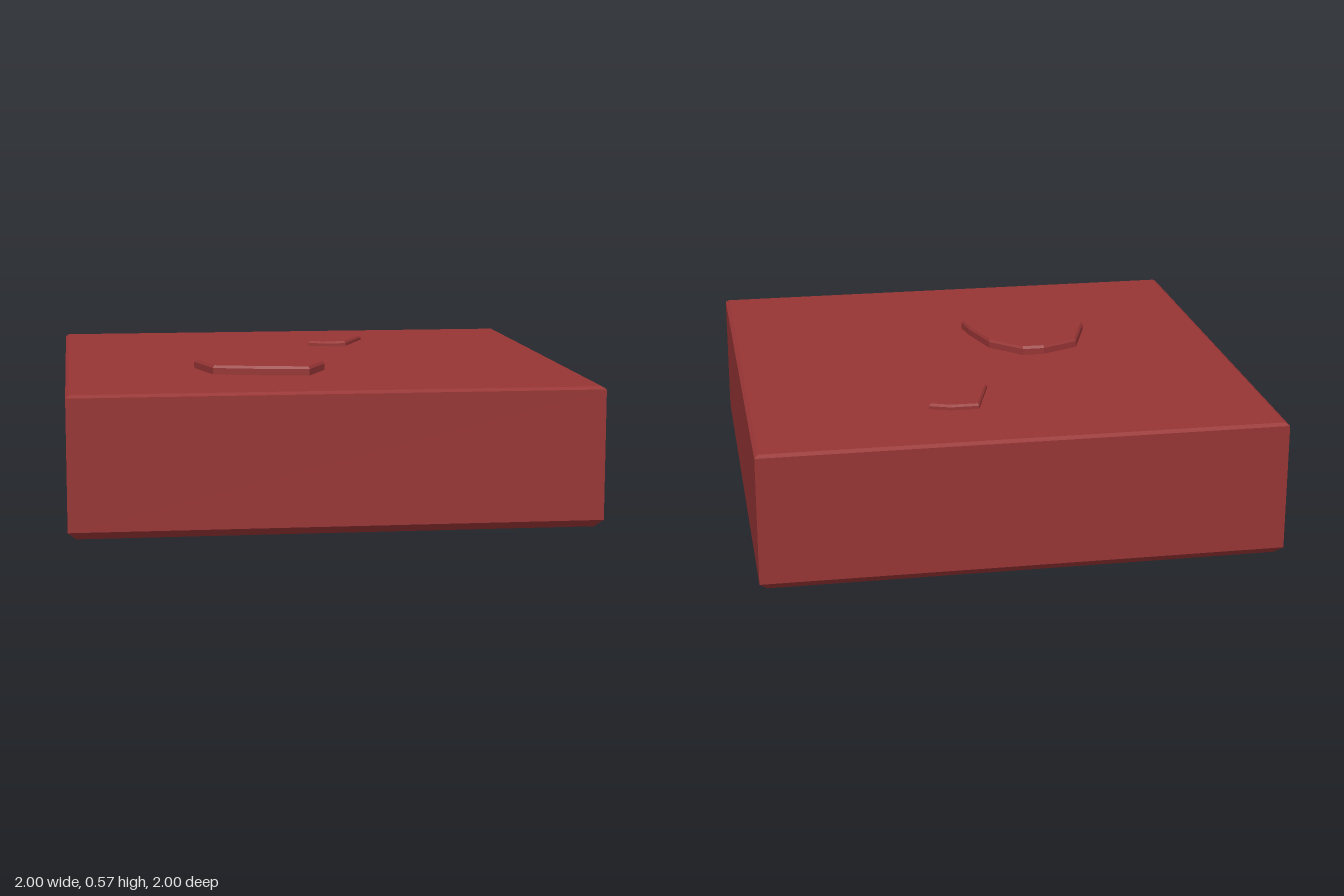
import * as THREE from 'three';

const material = new THREE.MeshStandardMaterial({ color: 0x963434, flatShading: true });

// Convex outline [x, z] (counterclockwise from above) lofted through rings [y, scale], capped at both ends
function loft(name, outline, rings) {
  const n = outline.length;
  const cx = outline.reduce((s, p) => s + p[0], 0) / n;
  const cz = outline.reduce((s, p) => s + p[1], 0) / n;
  const at = (ring, i) => {
    const [x, z] = outline[i % n];
    const [y, s] = ring;
    return [cx + (x - cx) * s, y, cz + (z - cz) * s];
  };
  const low = rings[0], high = rings[rings.length - 1];
  const pos = [];
  for (let i = 0; i < n; i++) {
    for (let r = 0; r < rings.length - 1; r++) {
      const a = at(rings[r], i), b = at(rings[r], i + 1);
      const c = at(rings[r + 1], i + 1), d = at(rings[r + 1], i);
      pos.push(...a, ...b, ...c, ...a, ...c, ...d);
    }
    pos.push(cx, high[0], cz, ...at(high, i), ...at(high, i + 1));
    pos.push(cx, low[0], cz, ...at(low, i + 1), ...at(low, i));
  }
  const geometry = new THREE.BufferGeometry();
  geometry.setAttribute('position', new THREE.Float32BufferAttribute(pos, 3));
  geometry.computeVertexNormals();
  const mesh = new THREE.Mesh(geometry, material);
  mesh.name = name;
  return mesh;
}

export function createModel() {
  const group = new THREE.Group();
  group.name = 'groundTile';

  // Square block with a chamfered foot and a fine top bevel
  group.add(loft('block', [[1, -1], [-1, -1], [-1, 1], [1, 1]],
    [[0, 0.97], [0.03, 1], [0.525, 1], [0.535, 0.985]]));

  // Large flat stone
  group.add(loft('largeStone', [
    [-0.17, -0.02], [-0.26, -0.02], [-0.41, 0.05], [-0.49, 0.28], [-0.43, 0.48],
    [-0.26, 0.525], [-0.06, 0.56], [0.02, 0.39], [0.005, 0.29], [-0.05, 0.1],
  ], [[0.53, 1], [0.56, 1], [0.57, 0.97]]));

  // Small flat stone
  group.add(loft('smallStone', [
    [0.23, -0.64], [0.12, -0.64], [0.05, -0.41], [0.12, -0.385], [0.21, -0.385], [0.31, -0.61],
  ], [[0.53, 1], [0.547, 1], [0.555, 0.93]]));

  return group;
}
